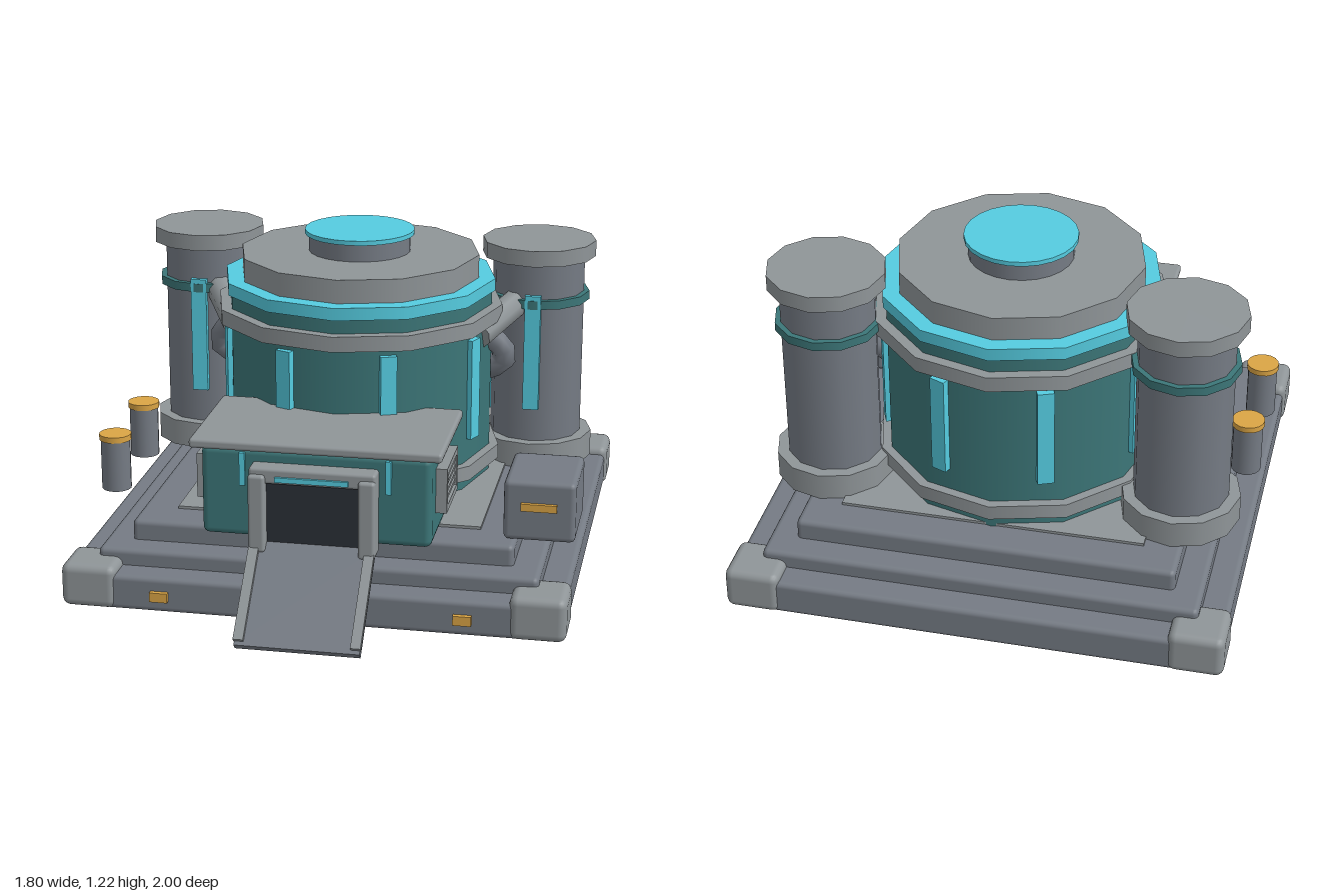
import * as THREE from 'three';
import { RoundedBoxGeometry } from 'three/addons/geometries/RoundedBoxGeometry.js';

const mat = (color) => new THREE.MeshStandardMaterial({ color });
const hull = mat(0x757b84);
const trim = mat(0x8f9598);
const teal = mat(0x3c7678);
const glow = mat(0x55cce0);
const amber = mat(0xdba545);
const dark = mat(0x2b3038);

function add(parent, name, geometry, material, x = 0, y = 0, z = 0) {
  const mesh = new THREE.Mesh(geometry, material);
  mesh.name = name;
  mesh.position.set(x, y, z);
  parent.add(mesh);
  return mesh;
}

// Box given by its extents, with optional rounded edges
function box(parent, name, material, [x0, x1], [y0, y1], [z0, z1], r = 0) {
  const s = [x1 - x0, y1 - y0, z1 - z0];
  const g = r ? new RoundedBoxGeometry(...s, 2, r) : new THREE.BoxGeometry(...s);
  return add(parent, name, g, material, (x0 + x1) / 2, (y0 + y1) / 2, (z0 + z1) / 2);
}

// Upright cylinder from y0 to y1
function disc(parent, name, material, r, y0, y1, sides = 12) {
  return add(parent, name, new THREE.CylinderGeometry(r, r, y1 - y0, sides), material, 0, (y0 + y1) / 2, 0);
}

function group(parent, name, x = 0, y = 0, z = 0) {
  const g = new THREE.Group();
  g.name = name;
  g.position.set(x, y, z);
  parent.add(g);
  return g;
}

function createFoundation(model) {
  const base = group(model, 'foundation');
  box(base, 'baseSlab', hull, [-0.89, 0.89], [0.02, 0.15], [-0.99, 0.79], 0.02);
  box(base, 'middleStep', hull, [-0.79, 0.79], [0.12, 0.21], [-0.89, 0.69], 0.02);
  box(base, 'upperStep', hull, [-0.69, 0.69], [0.18, 0.285], [-0.79, 0.59], 0.02);
  box(base, 'floorPlate', trim, [-0.555, 0.555], [0.27, 0.295], [-0.66, 0.45]);
  for (const s of [-1, 1]) {
    for (const z of [-0.9, 0.7])
      box(base, 'cornerBlock', trim, [s * 0.8 - 0.1, s * 0.8 + 0.1], [0.02, 0.18], [z - 0.1, z + 0.1], 0.03);
    box(base, 'markerLight', amber, [s * 0.54 - 0.032, s * 0.54 + 0.032], [0.065, 0.1], [0.78, 0.808]);
  }
}

function createDrum(model) {
  const drum = group(model, 'mainDrum', 0, 0, -0.165);
  disc(drum, 'drumWall', teal, 0.5, 0.285, 1.0);
  disc(drum, 'lowerFlange', trim, 0.535, 0.34, 0.395);
  disc(drum, 'upperFlange', trim, 0.54, 0.888, 0.945);
  disc(drum, 'lightRing', glow, 0.512, 0.997, 1.043);
  disc(drum, 'roofDisc', trim, 0.45, 1.04, 1.13);
  disc(drum, 'roofHub', hull, 0.19, 1.12, 1.197, 24);
  disc(drum, 'hubCap', glow, 0.205, 1.195, 1.212, 24);
  // Eight upright light strips around the wall
  for (let i = 0; i < 8; i++) {
    const a = Math.PI / 8 + (i * Math.PI) / 4;
    const strip = add(drum, 'wallLight', new THREE.BoxGeometry(0.06, 0.38, 0.04), glow,
      Math.sin(a) * 0.49, 0.672, Math.cos(a) * 0.49);
    strip.rotation.y = a;
  }
}

function createTower(model, s) {
  const tower = group(model, 'tower', s * 0.645, 0, -0.425);
  disc(tower, 'towerFoot', trim, 0.217, 0.285, 0.385);
  disc(tower, 'towerShaft', hull, 0.174, 0.38, 1.09);
  disc(tower, 'towerBand', teal, 0.195, 0.91, 0.943);
  disc(tower, 'towerCap', trim, 0.215, 1.08, 1.14);
  box(tower, 'towerLight', glow, [-0.03, 0.03], [0.515, 0.96], [0.15, 0.19]);

  // Angled coupling between drum and tower
  const path = [[0.46, 0.845, -0.09], [0.57, 0.915, -0.29]].map(([x, y, z]) => new THREE.Vector3(s * x, y, z));
  const arm = add(model, 'couplingArm', new THREE.CylinderGeometry(0.055, 0.055, path[0].distanceTo(path[1]), 8), trim);
  arm.position.lerpVectors(path[0], path[1], 0.5);
  arm.quaternion.setFromUnitVectors(new THREE.Vector3(0, 1, 0), path[1].clone().sub(path[0]).normalize());
  const bend = [[0.49, 0.82, -0.17], [0.54, 0.77, -0.19], [0.545, 0.72, -0.2], [0.48, 0.68, -0.22]];
  const curve = new THREE.CatmullRomCurve3(bend.map(([x, y, z]) => new THREE.Vector3(s * x, y, z)));
  add(model, 'couplingElbow', new THREE.TubeGeometry(curve, 5, 0.045, 8), hull);
}

function createEntrance(model) {
  const entry = group(model, 'entrance');
  box(entry, 'entryHall', teal, [-0.41, 0.41], [0.285, 0.615], [0.227, 0.67], 0.025);
  box(entry, 'entryRoof', trim, [-0.448, 0.448], [0.61, 0.645], [0.19, 0.695], 0.012);
  box(entry, 'door', dark, [-0.17, 0.17], [0.287, 0.52], [0.65, 0.715]);
  box(entry, 'lintel', trim, [-0.225, 0.225], [0.51, 0.568], [0.65, 0.735], 0.012);
  box(entry, 'lintelLight', glow, [-0.13, 0.13], [0.522, 0.54], [0.72, 0.745]);

  for (const s of [-1, 1]) {
    const span = (a, b) => (s > 0 ? [a, b] : [-b, -a]);
    box(entry, 'doorJamb', trim, span(0.165, 0.225), [0.26, 0.545], [0.66, 0.755], 0.012);
    box(entry, 'entryLight', glow, span(0.25, 0.27), [0.48, 0.6], [0.66, 0.682]);

    // Side vent: frame, dark recess and slats
    const vent = group(entry, 'sideVent');
    box(vent, 'ventPanel', dark, span(0.4, 0.428), [0.4, 0.54], [0.33, 0.57]);
    for (const y of [0.385, 0.525])
      box(vent, 'ventFrameRail', trim, span(0.4, 0.45), [y, y + 0.024], [0.32, 0.575]);
    for (const z of [0.32, 0.551])
      box(vent, 'ventFrameSide', trim, span(0.4, 0.45), [0.385, 0.549], [z, z + 0.024]);
    for (let i = 0; i < 4; i++) {
      const y = 0.422 + i * 0.027;
      box(vent, 'ventSlat', trim, span(0.42, 0.445), [y, y + 0.012], [0.34, 0.555]);
    }
  }

  // Sloping ramp with raised edges
  const ramp = group(entry, 'ramp', 0, 0.142, 0.853);
  ramp.rotation.x = Math.atan2(0.27, 0.28);
  box(ramp, 'rampDeck', hull, [-0.22, 0.22], [-0.015, 0.015], [-0.2, 0.195]);
  for (const x of [-0.205, 0.205])
    box(ramp, 'rampRail', trim, [x - 0.018, x + 0.018], [0.01, 0.03], [-0.2, 0.18]);
}

function createYardItems(model) {
  const crate = group(model, 'crate');
  box(crate, 'crateBody', hull, [0.643, 0.897], [0.287, 0.508], [0.22, 0.535], 0.02);
  box(crate, 'crateLight', amber, [0.705, 0.832], [0.403, 0.43], [0.52, 0.55]);
  for (const z of [-0.105, 0.28]) {
    const post = group(model, 'lampPost', -0.838, 0, z);
    disc(post, 'postBody', hull, 0.055, 0.287, 0.48, 16);
    disc(post, 'postLamp', amber, 0.06, 0.478, 0.5, 16);
  }
}

export function createModel() {
  const model = new THREE.Group();
  model.name = 'outpostBuilding';
  createFoundation(model);
  createDrum(model);
  for (const s of [-1, 1]) createTower(model, s);
  createEntrance(model);
  createYardItems(model);
  return model;
}
